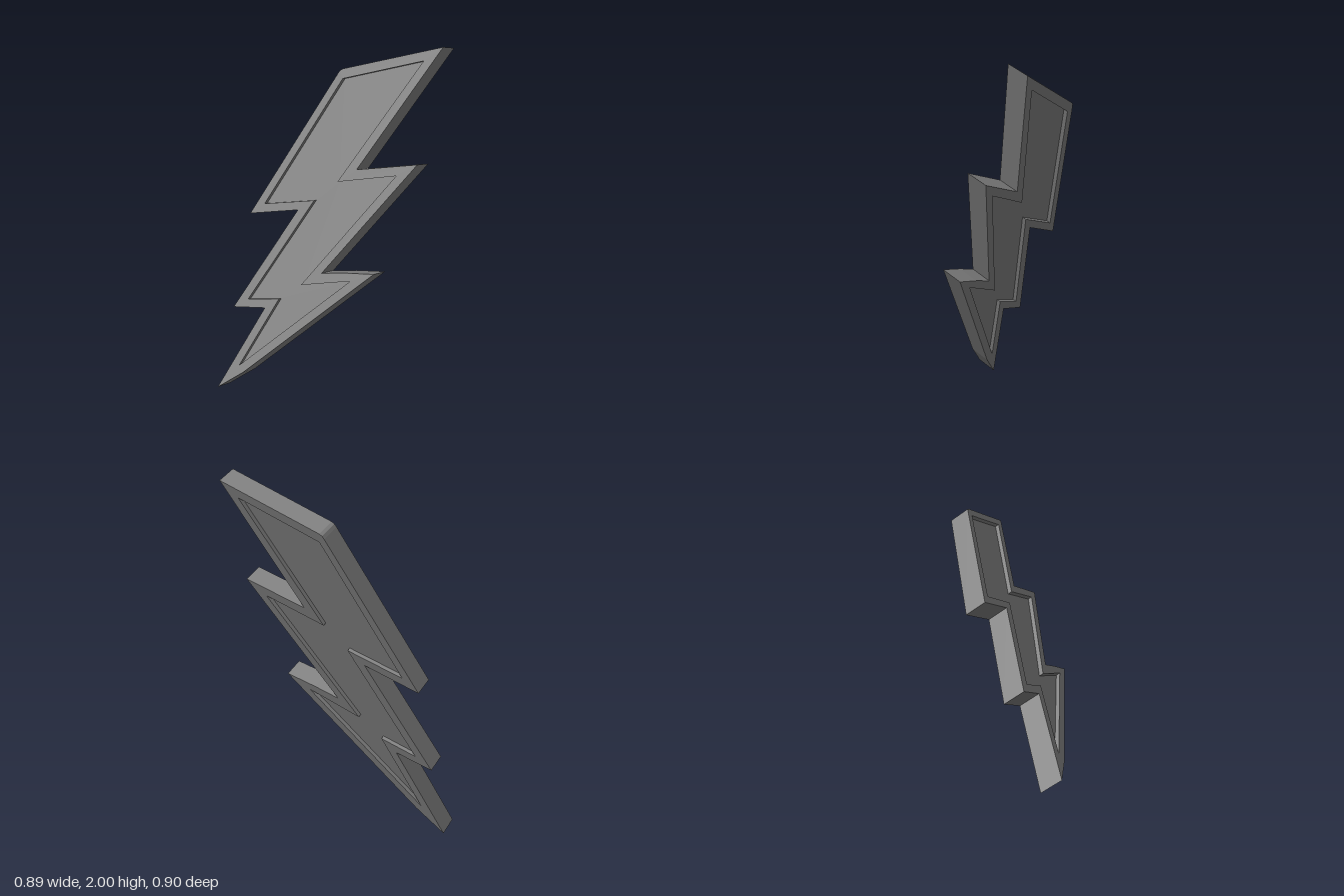
import * as THREE from 'three';

const TILT = Math.atan2(0.79, 1.95); // backward lean of the plate
const THICK = 0.112;
const RECESS = 0.022;

// Front-elevation corners (x, height), unprojected onto the leaning plate
const onPlate = (pts) =>
  pts.map(([x, y]) => new THREE.Vector2(x, (y - 1.021) / Math.cos(TILT)));

const OUTER = onPlate([
  [0.423, 2.0], [-0.085, 1.783], [-0.098, 1.773], [-0.106, 1.758],
  [-0.444, 0.972], [-0.158, 1.078],
  [-0.421, 0.483], [-0.224, 0.548],
  [-0.411, 0.042], [-0.27, 0.18],
  [0.359, 0.925], [0.2, 0.877], [0.066, 0.83],
  [0.443, 1.475], [0.124, 1.36],
]);

const INNER = onPlate([
  [0.341, 1.92], [-0.073, 1.74],
  [-0.368, 1.045], [-0.076, 1.15],
  [-0.34, 0.553], [-0.15, 0.622],
  [-0.305, 0.205], [0.24, 0.85],
  [-0.038, 0.734], [0.347, 1.395], [0.033, 1.275],
]);

// Slab extruded symmetrically about z = 0
function slab(name, shape, depth, material) {
  const geo = new THREE.ExtrudeGeometry(shape, { depth, bevelEnabled: false });
  geo.translate(0, 0, -depth / 2);
  const mesh = new THREE.Mesh(geo, material);
  mesh.name = name;
  return mesh;
}

export function createModel() {
  const group = new THREE.Group();
  group.name = 'lightningBolt';
  const material = new THREE.MeshStandardMaterial({ color: 0x868686 });

  // Raised border around the bolt
  const border = new THREE.Shape(OUTER);
  border.holes.push(new THREE.Path(INNER));

  // Leaning plate: border plus a panel recessed on both faces
  const plate = new THREE.Group();
  plate.name = 'plate';
  plate.add(slab('border', border, THICK, material));
  plate.add(slab('recessedPanel', new THREE.Shape(INNER), THICK - 2 * RECESS, material));
  plate.rotation.x = -TILT;
  plate.position.y = 1;
  group.add(plate);
  return group;
}
